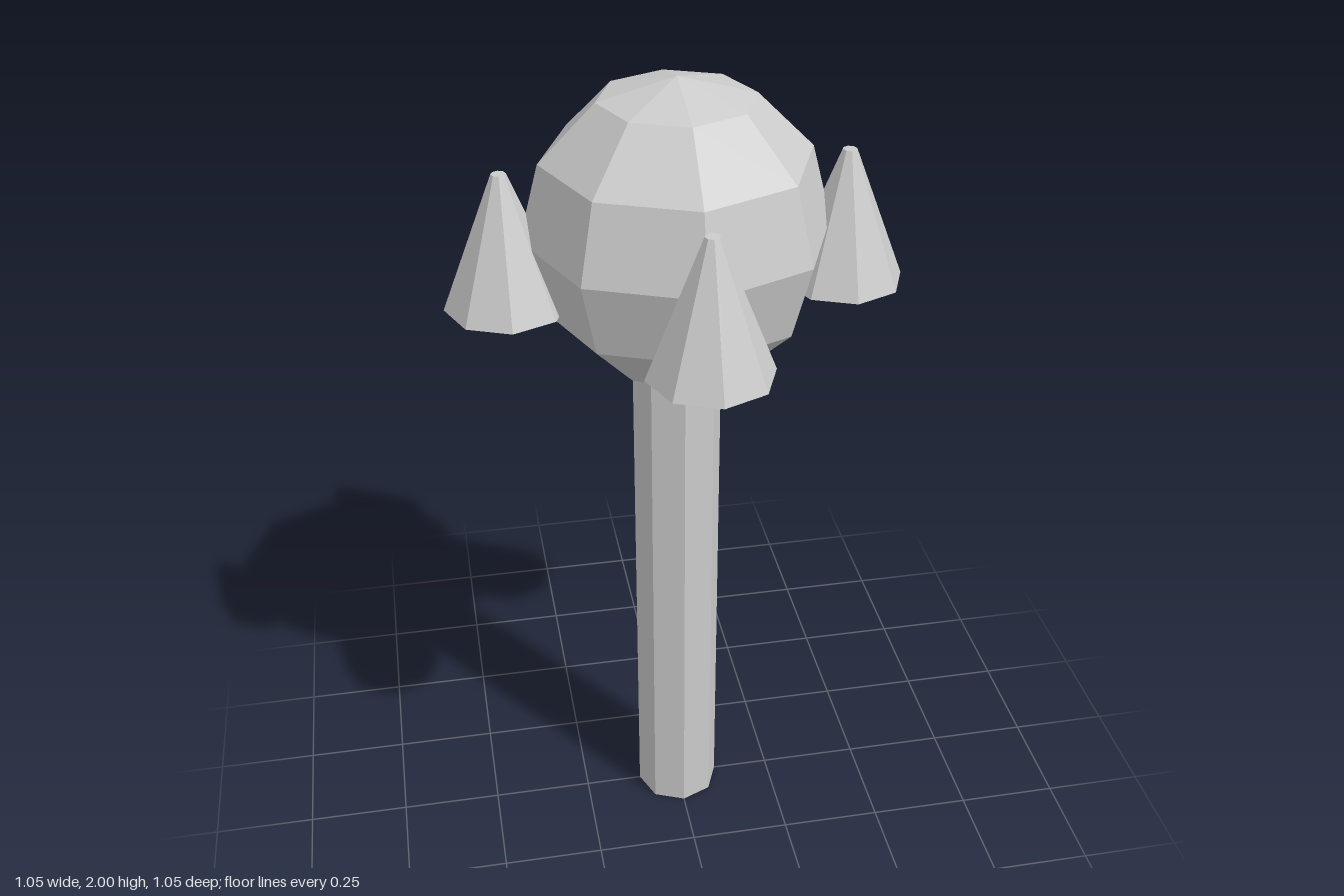
import * as THREE from 'three';

const SIDES = 8;

export function createModel() {
  const group = new THREE.Group();
  const material = new THREE.MeshStandardMaterial({ color: 0xcccccc, flatShading: true });

  const add = (name, geometry, x, y, z) => {
    const mesh = new THREE.Mesh(geometry, material);
    mesh.name = name;
    mesh.position.set(x, y, z);
    group.add(mesh);
  };

  // Octagonal post, its top hidden inside the globe
  const postHeight = 1.4;
  add('post', new THREE.CylinderGeometry(0.105, 0.105, postHeight, SIDES), 0, postHeight / 2, 0);

  // Faceted globe
  add('globe', new THREE.SphereGeometry(0.35, SIDES, 6), 0, 1.65, 0);

  // Four blunt cones around the globe
  const cone = new THREE.CylinderGeometry(0.0165, 0.14, 0.312, SIDES);
  const names = ['leftCone', 'frontCone', 'rightCone', 'backCone'];
  names.forEach((name, i) => {
    const a = (i * Math.PI) / 2;
    add(name, cone, 0.386 * Math.cos(a), 1.655, 0.386 * Math.sin(a));
  });

  return group;
}
